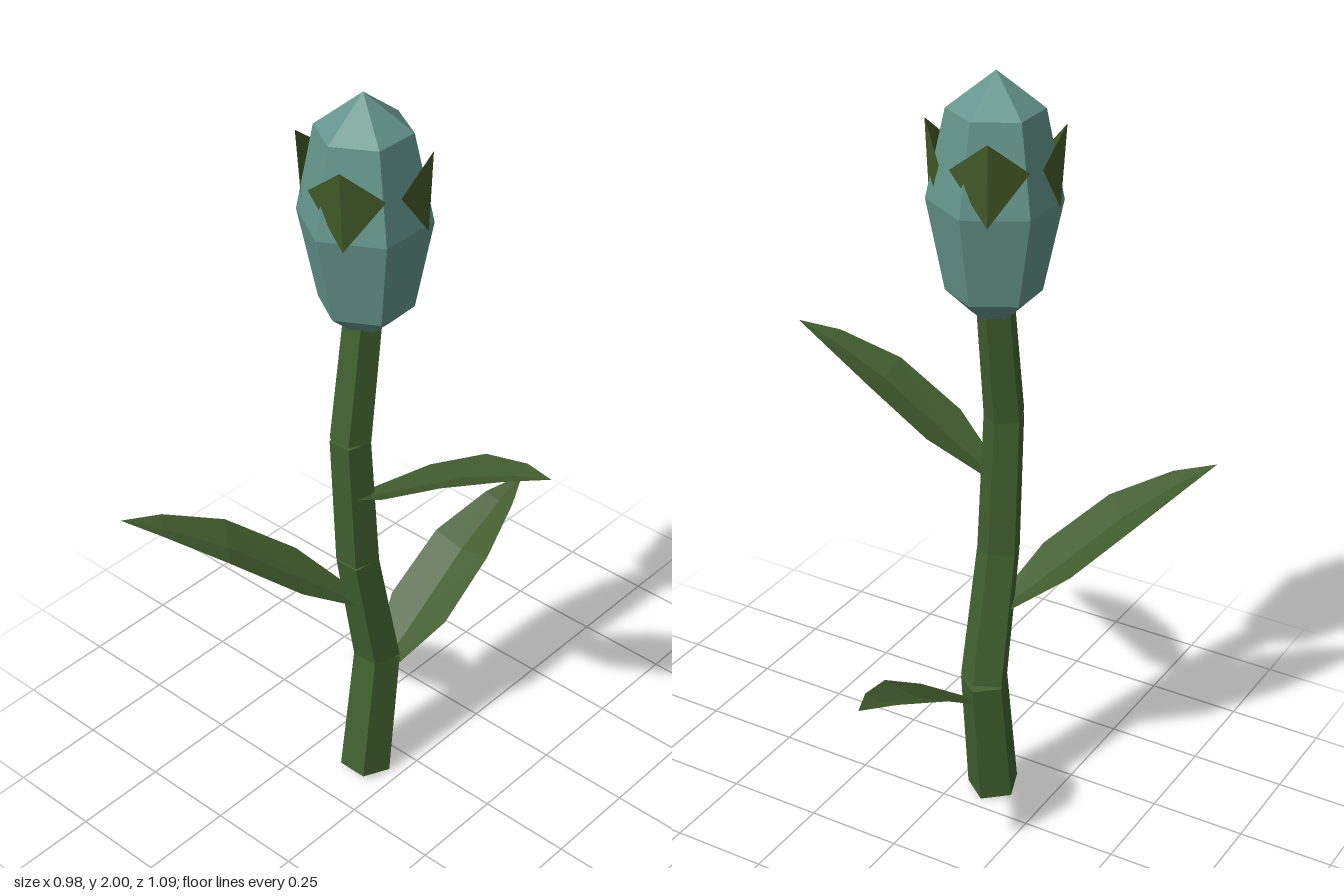
import * as THREE from 'three';

const STEM_X = -0.095;

function makeMaterial(name, color) {
  const m = new THREE.MeshStandardMaterial({ color, flatShading: true, side: THREE.DoubleSide });
  m.name = name;
  return m;
}

// Builds a faceted surface from a list of triangles, each three Vector3 corners
function fromTriangles(triangles) {
  const geometry = new THREE.BufferGeometry().setFromPoints(triangles.flat());
  geometry.computeVertexNormals();
  return geometry;
}

// Pointed leaf growing along +z, folded into a shallow valley along its rib
function leafGeometry() {
  // distance from stem, height, half width, rise of the edge above the rib
  const stations = [
    [0.03, -0.005, 0.035, 0.01],
    [0.17, 0.085, 0.094, 0.022],
    [0.345, 0.2, 0.09, 0.02],
    [0.5, 0.275, 0.046, 0.01],
    [0.6, 0.31, 0, 0],
  ];
  const triangles = [];
  for (const side of [1, -1]) {
    const rib = stations.map(([d, y]) => new THREE.Vector3(0, y, d));
    const edge = stations.map(([d, y, w, r]) => new THREE.Vector3(side * w, y + r, d));
    for (let i = 0; i < stations.length - 1; i++) {
      const pair = [[rib[i], rib[i + 1], edge[i + 1]], [rib[i], edge[i + 1], edge[i]]];
      if (i === stations.length - 2) pair.shift(); // the tip closes to a point
      for (const t of pair) triangles.push(side > 0 ? t : t.reverse());
    }
  }
  return fromTriangles(triangles);
}

// Kite-shaped sepal wrapped around the bud and folded down its middle
function sepalGeometry() {
  const at = (angle, r, y) => new THREE.Vector3(r * Math.sin(angle), y, r * Math.cos(angle));
  const tip = at(0, 0.164, 1.88);
  const base = at(0, 0.153, 1.675);
  const left = at(0.66, 0.15, 1.8);
  const right = at(-0.66, 0.15, 1.8);
  return fromTriangles([[tip, base, left], [tip, right, base]]);
}

export function createModel() {
  const model = new THREE.Group();
  model.name = 'flowerBud';
  const stemGreen = makeMaterial('stem green', 0x40602f);
  const leafGreen = makeMaterial('leaf green', 0x415c2e);
  const sepalGreen = makeMaterial('sepal green', 0x435a28);
  const budTeal = makeMaterial('bud teal', 0x64958c);

  const add = (name, geometry, material, parent = model) => {
    const mesh = new THREE.Mesh(geometry, material);
    mesh.name = name;
    parent.add(mesh);
    return mesh;
  };

  // Stem: separate five-sided segments that zigzag in z and taper upwards
  const joints = [ // y, z, radius
    [0.01, 0.1, 0.069],
    [0.375, 0.047, 0.063],
    [0.73, 0.114, 0.057],
    [1.1, 0.132, 0.053],
    [1.42, 0.082, 0.049],
  ];
  const stem = new THREE.Group();
  stem.name = 'stem';
  model.add(stem);
  for (let i = 0; i < joints.length - 1; i++) {
    const [y0, z0, r0] = joints[i];
    const [y1, z1, r1] = joints[i + 1];
    const length = Math.hypot(y1 - y0, z1 - z0);
    const segment = add('stemSegment' + (i + 1),
      new THREE.CylinderGeometry(r1, r0, length, 5, 1, false, Math.PI), stemGreen, stem);
    segment.position.set(STEM_X, (y0 + y1) / 2, (z0 + z1) / 2);
    segment.rotation.x = Math.atan2(z1 - z0, y1 - y0);
  }

  // Leaves: height, z of the stem there, direction of the tip in x and z
  const leaves = [
    ['backLeaf', 0.31, 0.056, 0, -0.6, 1],
    ['frontRightLeaf', 0.57, 0.084, -0.395, 0.458, 1.01],
    ['leftLeaf', 0.935, 0.124, 0.58, -0.031, 0.97],
  ];
  const leafShape = leafGeometry();
  for (const [name, y, z, dx, dz, scale] of leaves) {
    const leaf = add(name, leafShape, leafGreen);
    leaf.position.set(STEM_X, y, z);
    leaf.rotation.y = Math.atan2(dx, dz);
    leaf.scale.setScalar(scale);
  }

  // Bud: six-sided, with a corner facing the front
  const head = new THREE.Group();
  head.name = 'head';
  head.position.set(STEM_X, 0, 0.071);
  model.add(head);
  const profile = [[0, 1.405], [0.055, 1.405], [0.116, 1.46], [0.162, 1.69], [0.116, 1.91], [0, 2]];
  add('bud', new THREE.LatheGeometry(profile.map(([r, y]) => new THREE.Vector2(r, y)), 6), budTeal, head);

  // Sepals: four around the bud
  const sepalShape = sepalGeometry();
  for (let i = 0; i < 4; i++) {
    add('sepal' + (i + 1), sepalShape, sepalGreen, head).rotation.y = 0.41 + (i * Math.PI) / 2;
  }
  return model;
}
